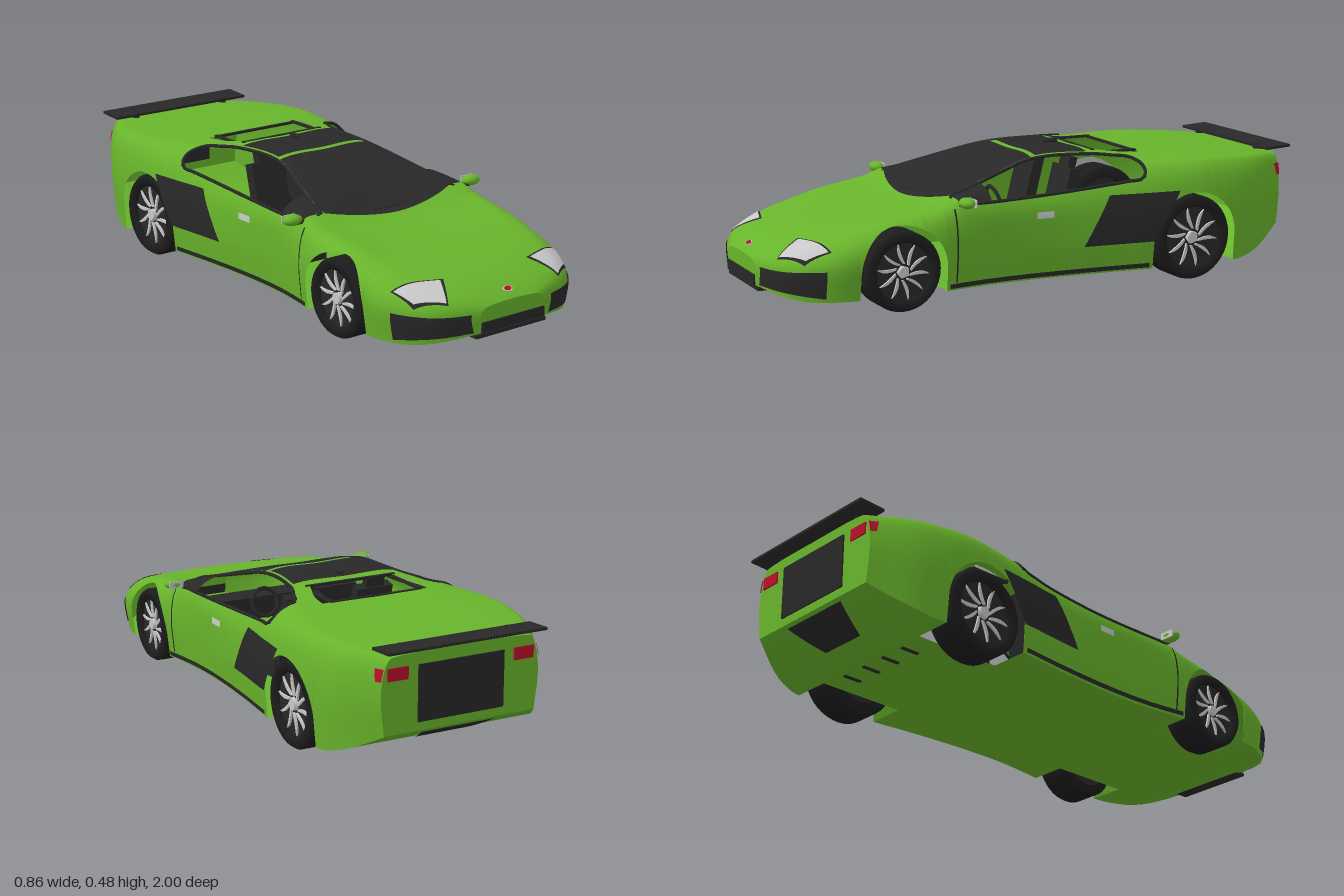
import * as THREE from 'three';

const mat = (name, color) => new THREE.MeshStandardMaterial({ name, color, side: THREE.DoubleSide });

// Half cross-sections: z, top y, then x,y of roof edge, belt and widest point
const KEYS = [
  [-0.955, 0.41, 0.22, 0.408, 0.275, 0.385, 0.295, 0.28],
  [-0.8, 0.422, 0.27, 0.42, 0.35, 0.395, 0.378, 0.27],
  [-0.6, 0.43, 0.29, 0.43, 0.38, 0.4, 0.41, 0.26],
  [-0.36, 0.44, 0.27, 0.435, 0.37, 0.375, 0.4, 0.22],
  [-0.22, 0.453, 0.215, 0.447, 0.355, 0.36, 0.385, 0.2],
  [0, 0.452, 0.2, 0.444, 0.35, 0.345, 0.37, 0.2],
  [0.2, 0.4, 0.25, 0.396, 0.355, 0.338, 0.37, 0.22],
  [0.35, 0.338, 0.28, 0.354, 0.36, 0.335, 0.386, 0.22],
  [0.42, 0.317, 0.245, 0.327, 0.36, 0.32, 0.397, 0.22],
  [0.57, 0.292, 0.21, 0.299, 0.345, 0.3, 0.403, 0.22],
  [0.7, 0.272, 0.2, 0.275, 0.335, 0.27, 0.397, 0.2],
  [0.8, 0.254, 0.2, 0.254, 0.32, 0.243, 0.383, 0.18],
  [0.9, 0.228, 0.18, 0.224, 0.28, 0.208, 0.33, 0.16],
  [0.96, 0.2, 0.14, 0.198, 0.22, 0.185, 0.255, 0.15],
  [0.995, 0.175, 0.08, 0.172, 0.12, 0.165, 0.14, 0.14],
];
const Z0 = -0.955, Z1 = 0.995;
const ARCHES = [{ z: 0.565, y: 0.135, r: 0.155, wheel: 0.135 }, { z: -0.54, y: 0.15, r: 0.165, wheel: 0.15 }];

// The underside is level and sweeps up at both ends
const sillY = (z) => 0.055 + 0.095 * Math.max(0, (-z - 0.72) / 0.235) ** 1.6 + 0.03 * Math.max(0, (z - 0.85) / 0.145) ** 2;

// Smooth interpolation of the sections along z
function section(z) {
  let i = 0;
  while (i < KEYS.length - 2 && z > KEYS[i + 1][0]) i++;
  const slope = (k, c) => {
    const a = KEYS[Math.max(k - 1, 0)], b = KEYS[Math.min(k + 1, KEYS.length - 1)];
    return (b[c] - a[c]) / (b[0] - a[0]);
  };
  const A = KEYS[i], B = KEYS[i + 1], h = B[0] - A[0], t = (z - A[0]) / h, t2 = t * t, t3 = t2 * t;
  const s = A.map((a, c) => (2 * t3 - 3 * t2 + 1) * a + (t3 - 2 * t2 + t) * h * slope(i, c)
    + (3 * t2 - 2 * t3) * B[c] + (t3 - t2) * h * slope(i + 1, c));
  return [[0, s[1]], [s[2], s[3]], [s[4], s[5]], [s[6], s[7]], [s[6] - 0.013, sillY(z)]];
}

// Point on the skin: |u| runs 0 (centre) to 4 (sill), the sign of u picks the side
function skin(u, z) {
  const p = section(z), a = Math.abs(u), i = Math.min(Math.floor(a), 3), t = a - i;
  const at = (k, c) => k < 0 ? (c ? p[1][1] : -p[1][0]) : k > 4 ? 2 * p[4][c] - p[3][c] : p[k][c];
  const f = (c) => {
    const [a0, b, d, e] = [at(i - 1, c), at(i, c), at(i + 1, c), at(i + 2, c)];
    return b + 0.5 * t * (d - a0 + t * (2 * a0 - 5 * b + 4 * d - e + t * (3 * (b - d) + e - a0)));
  };
  return new THREE.Vector3(f(0) * Math.sign(u), f(1), z);
}
function raised(u, z, d) {
  const e = 0.004;
  const du = skin(u + e, z).sub(skin(u - e, z)), dz = skin(u, Math.min(z + e, Z1)).sub(skin(u, Math.max(z - e, Z0)));
  return skin(u, z).addScaledVector(dz.cross(du).normalize(), d);
}
function solve(lo, hi, isBefore) {
  for (let k = 0; k < 30; k++) { const m = (lo + hi) / 2; if (isBefore(m)) lo = m; else hi = m; }
  return lo;
}
const uAtHeight = (y, z) => solve(1, 4, (u) => skin(u, z).y > y);
const uAtWidth = (x, z) => solve(0, 3, (u) => skin(u, z).x < x);
const archAt = (z) => ARCHES.find((a) => Math.abs(z - a.z) < a.r);

// Sheet over two lists of parameters
function sheet(us, vs, fn, skip = () => false) {
  const pos = [], idx = [], n = us.length;
  for (const v of vs) for (const u of us) pos.push(...fn(u, v).toArray());
  for (let j = 0; j < vs.length - 1; j++) for (let i = 0; i < n - 1; i++) {
    if (skip((us[i] + us[i + 1]) / 2, (vs[j] + vs[j + 1]) / 2)) continue;
    const a = j * n + i;
    idx.push(a, a + n, a + 1, a + 1, a + n, a + n + 1);
  }
  const g = new THREE.BufferGeometry();
  g.setAttribute('position', new THREE.Float32BufferAttribute(pos, 3));
  g.setIndex(idx);
  g.computeVertexNormals();
  return g;
}
const range = (a, b, n) => Array.from({ length: n + 1 }, (_, i) => a + (b - a) * i / n);
const bilerp = (q, s, t, c) => (q[0][c] * (1 - s) + q[1][c] * s) * (1 - t) + (q[3][c] * (1 - s) + q[2][c] * s) * t;

export function createModel() {
  const car = new THREE.Group();
  car.name = 'sportsCar';
  const green = mat('greenPaint', 0x68b42b), black = mat('blackTrim', 0x282828), tyreBlack = mat('tyreRubber', 0x1c1c1c);
  const silver = mat('silver', 0xc8c8c8), red = mat('redLamp', 0xb8102a);
  const add = (name, geo, m, parent = car) => {
    const mesh = new THREE.Mesh(geo, m);
    mesh.name = name;
    parent.add(mesh);
    return mesh;
  };
  const box = (name, m, w, h, d, x, y, z) => {
    const b = add(name, new THREE.BoxGeometry(w, h, d), m);
    b.position.set(x, y, z);
    return b;
  };

  // Body shell with wheel arches, open side windows and rear roof hatch
  const half = [0.34, 0.68, ...range(1, 4, 15)];
  const us = [...half.map((u) => -u).reverse(), 0, ...half];
  const zs = [...range(Z0, Z1, 70), -0.42, -0.25, -0.36, 0.35];
  for (const a of ARCHES) for (const s of [-1, 1])
    for (const k of [1.003, 0.997, 0.98, 0.94, 0.88, 0.75, 0.5, 0.25]) zs.push(a.z + s * k * a.r);
  zs.sort((a, b) => a - b);
  add('bodyShell', sheet(us, zs, (u, z) => {
    const a = archAt(z);
    if (!a || Math.abs(u) <= 1) return skin(u, z);
    const low = a.y + Math.sqrt(a.r ** 2 - (z - a.z) ** 2);
    return skin(Math.sign(u) * (1 + (Math.abs(u) - 1) * (uAtHeight(low, z) - 1) / 3), z);
  }, (u, z) => {
    const a = Math.abs(u);
    return (a > 1 && a < 2 && z > -0.36 && z < 0.35) || (a < 0.68 && z > -0.42 && z < -0.25);
  }), green);
  add('floor', sheet([-1, 0, 1], zs, (u, z) =>
    new THREE.Vector3(u * (archAt(z) ? 0.25 : section(z)[4][0]), sillY(z), z)), green);
  for (const [name, z] of [['tailPanel', Z0], ['nosePanel', Z1]])
    add(name, sheet(us, [0, 1], (u, v) => skin(u, z).lerp(new THREE.Vector3(0, sillY(z), z), v)), green);

  // Glass, roof panel and hatch frame
  add('windshield', sheet(range(-0.97, 0.97, 16), range(0, 1, 16),
    (u, v) => raised(u, 0.005 + v * (0.405 - 0.055 * u * u), 0.004)), black);
  add('roofPanel', sheet(range(-0.93, 0.93, 10), range(-0.21, -0.015, 8), (u, z) => raised(u, z, 0.004)), black);
  for (const z of [-0.25, -0.42]) box('hatchFrame', black, 0.35, 0.008, 0.012, 0, skin(0, z).y, z);
  for (const s of [-1, 1]) box('hatchFrame', black, 0.012, 0.008, 0.17, s * 0.172, 0.441, -0.335);
  const knob = add('roofKnob', new THREE.SphereGeometry(0.01, 12, 8), black);
  knob.position.set(0, 0.466, -0.17);
  knob.scale.z = 3;
  for (const x of [-0.045, 0.045]) box('wiper', black, 0.085, 0.004, 0.006, x, 0.334, 0.375);

  // Mirrored details
  const patch = (name, m, s, q, uOf, d = 0.004) => add(name, sheet(range(0, 1, 10), range(0, 1, 8), (a, b) => {
    const [u, z] = uOf(bilerp(q, a, b, 0), bilerp(q, a, b, 1));
    return raised(s * u, z, d);
  }), m);
  const bySide = (z, y) => [uAtHeight(y, z), z];
  const byTop = (x, z) => [uAtWidth(x, z), z];
  for (const s of [-1, 1]) {
    patch('headlight', silver, s, [[0.35, 0.815], [0.195, 0.86], [0.24, 0.945], [0.325, 0.885]], byTop);
    patch('headlightSurround', black, s, [[0.356, 0.807], [0.18, 0.858], [0.238, 0.952], [0.33, 0.892]], byTop, 0.002);
    patch('bumperIntake', black, s, [[0.986, 0.152], [0.83, 0.16], [0.83, 0.068], [0.986, 0.09]], bySide);
    patch('sideIntake', black, s, [[-0.21, 0.325], [-0.475, 0.325], [-0.376, 0.155], [-0.11, 0.155]], bySide);
    patch('sillStrip', black, s, [[0.4, 0.078], [-0.36, 0.078], [-0.36, 0.062], [0.4, 0.062]], bySide);
    patch('doorSeam', black, s, [[0.376, 0.325], [0.37, 0.325], [0.37, 0.08], [0.376, 0.08]], bySide, 0.002);
    patch('doorHandle', silver, s, [[0.07, 0.29], [0.005, 0.29], [0.005, 0.268], [0.07, 0.268]], bySide, 0.006);
    patch('tailLampSide', red, s, [[-0.925, 0.37], [-0.954, 0.37], [-0.954, 0.33], [-0.935, 0.33]], bySide);
    box('tailLamp', red, 0.075, 0.042, 0.006, s * 0.235, 0.35, Z0 - 0.002);
    add('quarterWindow', sheet(range(1, 2, 4), range(0.23, 0.35, 4), (u, z) => skin(s * u, z)), black);
    const loop = [...range(0.35, -0.34, 14).map((z) => skin(s, z)), skin(s * 1.4, -0.36), skin(s * 1.8, -0.36),
      ...range(-0.34, 0.34, 14).map((z) => skin(s * 2, z))];
    add('windowTrim', new THREE.TubeGeometry(new THREE.CatmullRomCurve3(loop, true), 90, 0.006, 6, true), black);

    // Mirror, seat and wing post
    const mirror = add('mirror', new THREE.SphereGeometry(1, 16, 12), green);
    mirror.scale.set(0.037, 0.019, 0.026);
    mirror.position.set(s * 0.393, 0.349, 0.34);
    box('mirrorGlass', silver, 0.055, 0.026, 0.004, s * 0.395, 0.349, 0.318);
    box('mirrorArm', black, 0.04, 0.01, 0.016, s * 0.36, 0.338, 0.345);
    box('seatBase', black, 0.15, 0.07, 0.2, s * 0.14, 0.12, 0);
    box('seatBack', black, 0.14, 0.28, 0.04, s * 0.14, 0.26, -0.13).rotation.x = -0.25;
    box('headrest', black, 0.07, 0.05, 0.03, s * 0.14, 0.408, -0.168).rotation.x = -0.25;
    box('wingPost', black, 0.014, 0.03, 0.04, s * 0.2, 0.418, -0.925);

    // Wheels with swirling spokes
    for (const a of ARCHES) {
      const wheel = new THREE.Group(), R = a.wheel;
      wheel.name = a.z > 0 ? 'frontWheel' : 'rearWheel';
      const profile = [[0.72, -0.064], [0.94, -0.064], [1, -0.05], [1, 0.05], [0.94, 0.063], [0.74, 0.064], [0.72, 0.04], [0.72, -0.064]];
      add('tyre', new THREE.LatheGeometry(profile.map(([r, w]) => new THREE.Vector2(r * R, w)), 40), tyreBlack, wheel);
      const disc = add('rimDisc', new THREE.CylinderGeometry(0.73 * R, 0.73 * R, 0.06, 32), black, wheel);
      disc.position.y = 0.015;
      const blade = new THREE.Shape();
      blade.moveTo(0.2 * R, 0);
      blade.quadraticCurveTo(0.45 * R, 0.2 * R, 0.7 * R, 0.12 * R);
      blade.quadraticCurveTo(0.45 * R, 0.07 * R, 0.2 * R, -0.05 * R);
      const bladeGeo = new THREE.ExtrudeGeometry(blade, { depth: 0.008, bevelEnabled: false, curveSegments: 6 });
      bladeGeo.rotateX(-Math.PI / 2);
      for (let k = 0; k < 10; k++) {
        const b = add('spoke', bladeGeo, silver, wheel);
        b.rotation.y = k * Math.PI / 5;
        b.position.y = 0.044;
      }
      const hub = add('hub', new THREE.CylinderGeometry(0.15 * R, 0.17 * R, 0.014, 5), silver, wheel);
      hub.position.y = 0.052;
      wheel.rotation.z = -s * Math.PI / 2;
      wheel.position.set(s * 0.327, R, a.z);
      car.add(wheel);
    }
  }

  // Steering wheel and dashboard
  const steering = add('steeringWheel', new THREE.TorusGeometry(0.05, 0.007, 8, 24), black);
  steering.position.set(0.14, 0.3, 0.12);
  steering.rotation.x = 0.3;
  box('dashboard', black, 0.56, 0.08, 0.1, 0, 0.26, 0.24);

  // Nose details
  box('centreGrille', black, 0.27, 0.035, 0.006, 0, 0.103, Z1 + 0.002);
  box('frontLip', black, 0.3, 0.012, 0.05, 0, 0.072, 0.965);
  for (const [name, m, r, d] of [['noseDiscRim', silver, 0.019, 0.003], ['noseDisc', red, 0.014, 0.005]]) {
    const disc = add(name, new THREE.CylinderGeometry(r, r, 0.003, 20), m);
    disc.position.copy(raised(0, 0.965, d));
    disc.rotation.x = 0.55;
    disc.scale.z = 0.65;
  }

  // Tail details, wing and underside vents
  box('tailPlate', black, 0.32, 0.19, 0.006, 0, 0.275, Z0 - 0.002);
  add('diffuser', sheet([-1, 0, 1], range(-0.945, -0.82, 6),
    (u, z) => new THREE.Vector3(u * (0.14 - 0.4 * (z + 0.945)), sillY(z) - 0.004, z)), black);
  for (const x of [-0.15, -0.05, 0.05, 0.15]) box('floorVent', black, 0.012, 0.006, 0.07, x, 0.053, -0.66);
  box('rearWing', black, 0.59, 0.009, 0.1, 0, 0.429, -0.95).rotation.x = 0.06;
  return car;
}
